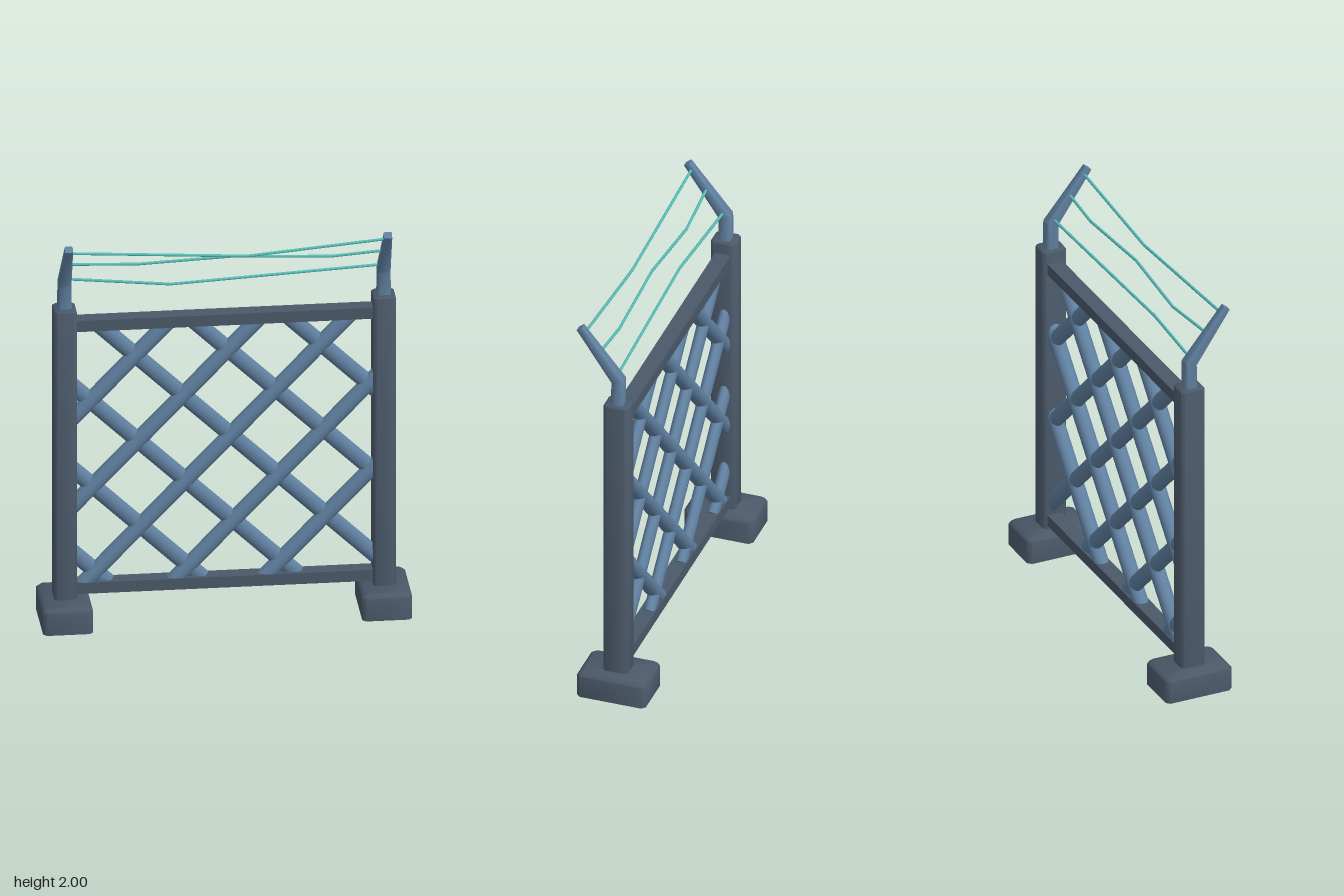
import * as THREE from 'three';
import { toCreasedNormals } from 'three/addons/utils/BufferGeometryUtils.js';

const frameMat = new THREE.MeshStandardMaterial({ color: 0x4a5868 });
frameMat.name = 'dark slate';
const barMat = new THREE.MeshStandardMaterial({ color: 0x6080a0 });
barMat.name = 'steel blue';
const wireMat = new THREE.MeshStandardMaterial({ color: 0x55bdb6 });
wireMat.name = 'teal wire';

const Z = -0.018; // depth of the fence line
const POST_X = 0.754;

// Solid through chamfered rectangles: [y, z, halfWidth, halfDepth, chamfer, tilt]
function loft(sections) {
  const rings = sections.map(([y, z, w, d, c, tilt = 0]) =>
    [[w, d - c], [w, c - d], [w - c, -d], [c - w, -d], [-w, c - d], [-w, d - c], [c - w, d], [w - c, d]]
      .map(([px, pz]) => [px, y - pz * Math.sin(tilt), z + pz * Math.cos(tilt)]));
  const pos = [];
  const tri = (a, b, c) => pos.push(...a, ...b, ...c);
  for (let k = 0; k < rings.length - 1; k++) {
    const a = rings[k], b = rings[k + 1];
    for (let i = 0; i < 8; i++) {
      const j = (i + 1) % 8;
      tri(a[i], a[j], b[j]);
      tri(a[i], b[j], b[i]);
    }
  }
  const first = rings[0], last = rings[rings.length - 1];
  for (let i = 1; i < 7; i++) {
    tri(first[0], first[i + 1], first[i]);
    tri(last[0], last[i], last[i + 1]);
  }
  const geo = new THREE.BufferGeometry();
  geo.setAttribute('position', new THREE.Float32BufferAttribute(pos, 3));
  return toCreasedNormals(geo, 0.9);
}

function add(parent, name, geo, mat, x = 0, y = 0, z = 0) {
  const mesh = new THREE.Mesh(geo, mat);
  mesh.name = name;
  mesh.position.set(x, y, z);
  parent.add(mesh);
  return mesh;
}

// Rod between two points, optionally flattened in depth
function rod(parent, name, a, b, radius, mat, sides, flat = 1) {
  const dir = b.clone().sub(a);
  const geo = new THREE.CylinderGeometry(radius, radius, dir.length(), sides);
  geo.scale(1, 1, flat);
  const mid = a.clone().add(b).multiplyScalar(0.5);
  const mesh = add(parent, name, geo, mat, mid.x, mid.y, mid.z);
  mesh.quaternion.setFromUnitVectors(new THREE.Vector3(0, 1, 0), dir.normalize());
}

export function createModel() {
  const model = new THREE.Group();
  model.name = 'latticeFence';

  // Feet, posts and forward-leaning arms
  const lean = 0.65;
  const foot = loft([[0, Z, 0.118, 0.171, 0.018], [0.113, Z, 0.118, 0.171, 0.018], [0.13, Z, 0.101, 0.154, 0.014]]);
  const post = loft([[0.1, Z, 0.053, 0.061, 0.014], [1.604, Z, 0.053, 0.061, 0.014], [1.61, Z, 0.047, 0.055, 0.012]]);
  const arm = loft([
    [1.58, Z, 0.033, 0.03, 0.009],
    [1.735, Z, 0.031, 0.03, 0.009, lean / 2],
    [1.989, 0.172, 0.019, 0.0175, 0.004, lean],
  ]);
  for (const side of [-1, 1]) {
    const label = side > 0 ? 'left' : 'right';
    add(model, label + 'Foot', foot, frameMat, side * POST_X);
    add(model, label + 'Post', post, frameMat, side * POST_X);
    add(model, label + 'Arm', arm, barMat, side * POST_X);
  }

  // Rails
  const rail = new THREE.BoxGeometry(1.44, 0.056, 0.077);
  add(model, 'topRail', rail, frameMat, 0, 1.522, -0.022);
  add(model, 'bottomRail', rail, frameMat, 0, 0.175, -0.022);

  // Diagonal bars: round rising bars run through thinner falling ones
  const lattice = new THREE.Group();
  lattice.name = 'lattice';
  model.add(lattice);
  function diagonal(name, x0, y0, slope, z, low, radius, flat) {
    const xs = [low, 1.522].map((y) => x0 + (y - y0) / slope);
    const from = Math.max(-0.74, Math.min(...xs));
    const to = Math.min(0.74, Math.max(...xs));
    const at = (x) => new THREE.Vector3(x, y0 + (x - x0) * slope, z);
    rod(lattice, name, at(from), at(to), radius, barMat, 16, flat);
  }
  for (let k = -2; k <= 2; k++) diagonal('risingBar', -0.653 + 0.431 * k, 0.2, 1.047, -0.021, 0.175, 0.0375, 1);
  for (let k = -4; k <= 1; k++) diagonal('fallingBar', -0.124 + 0.447 * k, 1.49, -0.955, -0.027, 0.188, 0.04, 0.7);

  // Sagging wires between the arms
  const wires = {
    topWire: [[-0.75, 1.96, 0.15], [0.09, 1.906, 0.15], [0.75, 1.962, 0.15]],
    middleWire: [[-0.75, 1.87, 0.074], [-0.415, 1.849, 0.058], [0.02, 1.875, 0.076], [0.5, 1.849, 0.068], [0.75, 1.87, 0.074]],
    bottomWire: [[-0.75, 1.758, -0.012], [-0.26, 1.729, 0.037], [0.75, 1.76, -0.012]],
  };
  for (const [name, pts] of Object.entries(wires)) {
    const wire = new THREE.Group();
    wire.name = name;
    model.add(wire);
    const v = pts.map((p) => new THREE.Vector3(...p));
    for (let i = 0; i < v.length - 1; i++) rod(wire, name + 'Span', v[i], v[i + 1], 0.007, wireMat, 8);
  }
  return model;
}
